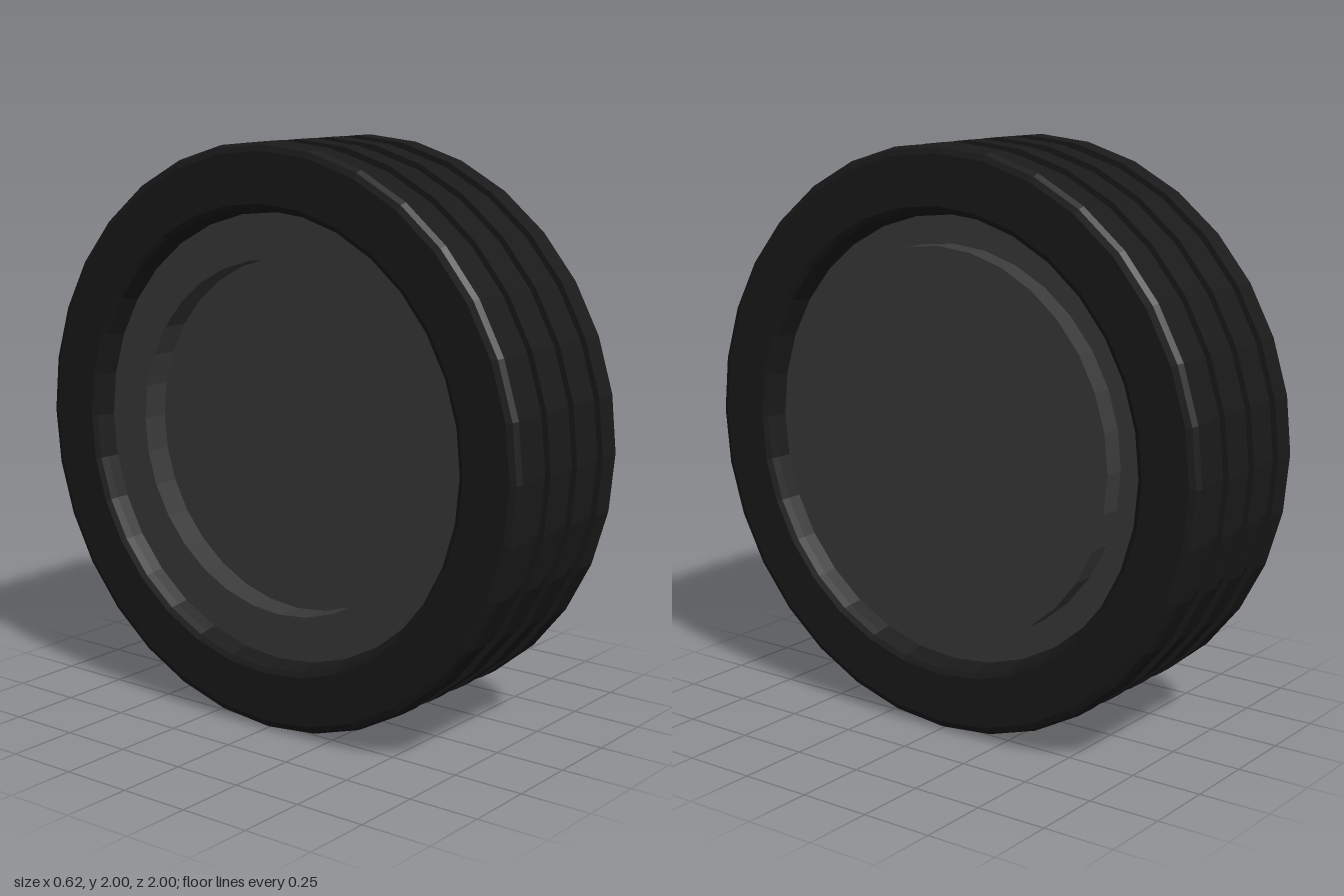
import * as THREE from 'three';

const SIDES = 32;

// Revolves [radius, x] points around the x axis; x rises along outward faces.
function revolve(name, points, color) {
  const profile = points.map(([r, x]) => new THREE.Vector2(r, x));
  const geometry = new THREE.LatheGeometry(profile, SIDES);
  geometry.rotateZ(-Math.PI / 2);
  const material = new THREE.MeshStandardMaterial({ color, flatShading: true });
  const mesh = new THREE.Mesh(geometry, material);
  mesh.name = name;
  return mesh;
}

// Tyre cross-section: rounded shoulders, three tread grooves, rounded bead lips.
function tyreProfile() {
  const half = 0.308;
  const shoulder = [[0.8, half], [0.97, half], [0.99, 0.3], [1, 0.28]];
  const bead = [[0.76, 0.2], [0.775, 0.27], [0.782, 0.298]];
  const mirror = (list) => list.map(([r, x]) => [r, -x]);
  const points = [...mirror(bead), ...mirror(shoulder)];
  for (const x of [-0.16, 0, 0.16]) {
    points.push([1, x - 0.04], [0.98, x - 0.04], [0.98, x + 0.04], [1, x + 0.04]);
  }
  points.push(...shoulder.reverse(), ...bead.reverse(), [0.76, -0.2]);
  return points;
}

export function createModel() {
  const wheel = new THREE.Group();
  wheel.name = 'wheel';

  wheel.add(revolve('tyre', tyreProfile(), 0x1a1a1a));

  // Hub: raised drum on the left (+x), shallow recess on the right (-x).
  wheel.add(revolve('hub', [
    [0, -0.13], [0.61, -0.13], [0.61, -0.23], [0.785, -0.23],
    [0.785, 0.225], [0.67, 0.225], [0.67, 0.302], [0, 0.302],
  ], 0x3a3a3a));

  wheel.position.y = 1;
  const model = new THREE.Group();
  model.add(wheel);
  return model;
}
